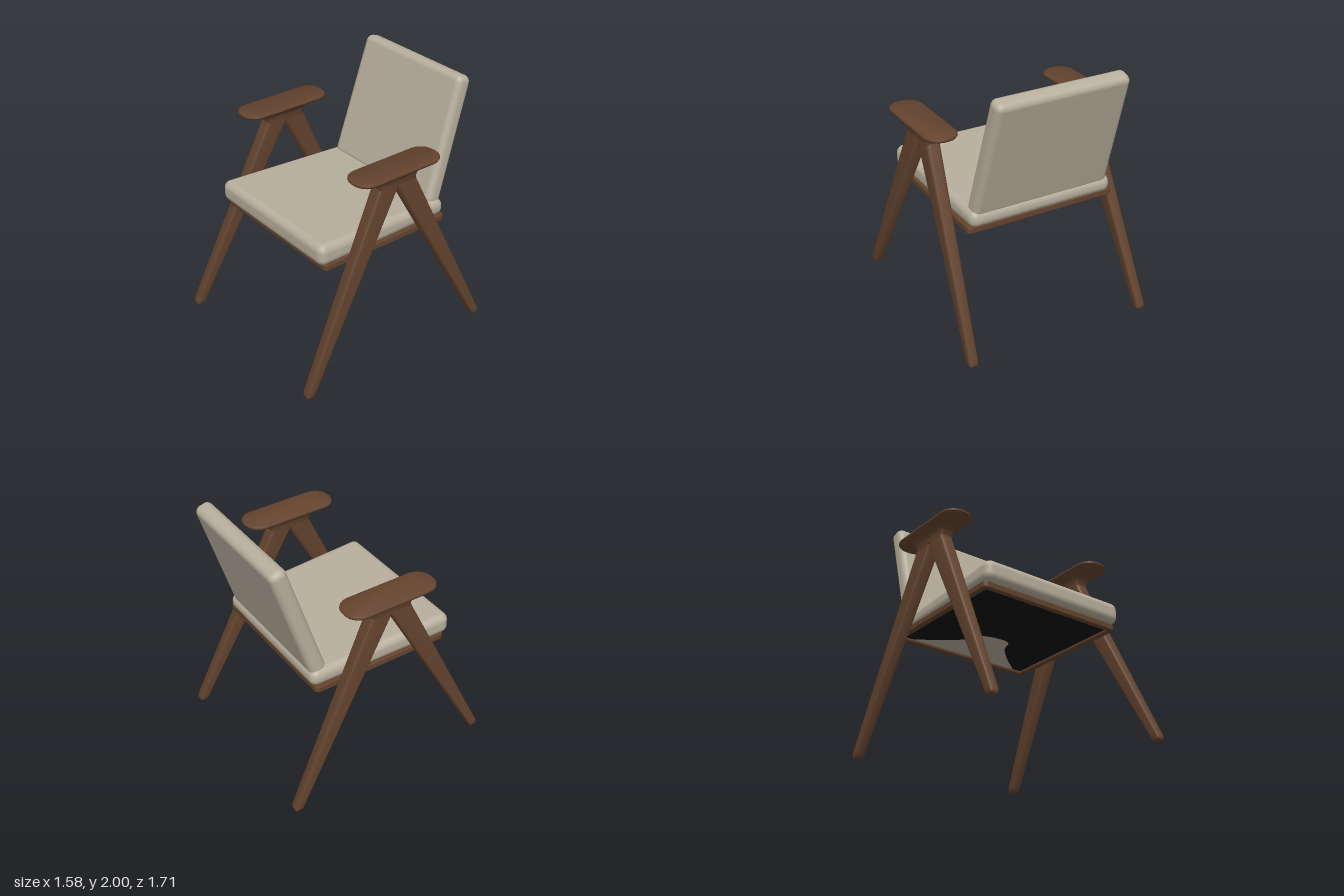
import * as THREE from 'three';
import { mergeVertices, toCreasedNormals } from 'three/addons/utils/BufferGeometryUtils.js';
import { RoundedBoxGeometry } from 'three/addons/geometries/RoundedBoxGeometry.js';

const wood = new THREE.MeshStandardMaterial({ name: 'walnut wood', color: 0x63432e });
const fabric = new THREE.MeshStandardMaterial({ name: 'beige fabric', color: 0xb7ae9c });
const black = new THREE.MeshStandardMaterial({ name: 'black lining', color: 0x121212 });

// Outline of a rounded rectangle, running from +x towards +z
function roundedRect(hx, hz, r, steps = 5) {
  const pts = [];
  [[1, 1], [-1, 1], [-1, -1], [1, -1]].forEach(([sx, sz], q) => {
    for (let i = 0; i <= steps; i++) {
      const a = (q + i / steps) * Math.PI / 2;
      pts.push([sx * (hx - r) + r * Math.cos(a), sz * (hz - r) + r * Math.sin(a)]);
    }
  });
  return pts;
}

// Capped solid through level rings, bottom to top: [y, centreX, centreZ, halfX, halfZ, cornerRadius]
function loft(rings) {
  const pos = [], index = [];
  let n = 0;
  for (const [y, cx, cz, hx, hz, r] of rings) {
    const pts = roundedRect(hx, hz, r);
    n = pts.length;
    for (const [x, z] of pts) pos.push(cx + x, y, cz + z);
  }
  const last = (rings.length - 1) * n;
  for (let k = 0; k < rings.length - 1; k++) {
    for (let j = 0; j < n; j++) {
      const a = k * n + j, b = k * n + (j + 1) % n;
      index.push(a, a + n, b, b, a + n, b + n);
    }
  }
  for (let j = 1; j < n - 1; j++) {
    index.push(0, j, j + 1, last, last + j + 1, last + j);
  }
  const g = new THREE.BufferGeometry();
  g.setAttribute('position', new THREE.Float32BufferAttribute(pos, 3));
  g.setIndex(index);
  return toCreasedNormals(g, 0.7);
}

// Soft cushion: rounded box reshaped by a rule, with smooth normals
function cushion(w, h, d, r, rule) {
  let g = new RoundedBoxGeometry(w, h, d, 6, r);
  g.deleteAttribute('uv');
  g.deleteAttribute('normal');
  g = mergeVertices(g, 1e-4);
  const p = g.attributes.position, v = new THREE.Vector3();
  for (let i = 0; i < p.count; i++) {
    v.fromBufferAttribute(p, i);
    rule(v);
    p.setXYZ(i, v.x, v.y, v.z);
  }
  g.computeVertexNormals();
  return g;
}

export function createModel() {
  const chair = new THREE.Group();
  chair.name = 'armchair';
  const add = (name, geometry, material) => {
    const m = new THREE.Mesh(geometry, material);
    m.name = name;
    chair.add(m);
    return m;
  };

  // Seat cushion, narrower and lower towards the back
  const seat = cushion(1.24, 0.17, 1.2, 0.06, v => {
    const back = 0.5 - v.z / 1.2;
    v.x *= 1 - 0.05 * back;
    v.y -= v.y > 0 ? 0.05 * back : 0.012 * back;
  });
  seat.translate(0, 1.04, 0.017);
  add('seatCushion', seat, fabric);

  // Leaning back cushion, narrower at the top
  const back = cushion(1.09, 1.0, 0.133, 0.05, v => { v.x *= 1 - 0.06 * v.y; });
  back.rotateX(-0.304);
  back.translate(0, 1.513, -0.645);
  add('backCushion', back, fabric);

  // Seat frame with an open middle
  const outline = (hx, hz, r) => roundedRect(hx, hz, r).map(([x, z]) => new THREE.Vector2(x, z));
  const ring = new THREE.Shape(outline(0.602, 0.562, 0.025));
  ring.holes.push(new THREE.Path(outline(0.575, 0.535, 0.01)));
  const frame = new THREE.ExtrudeGeometry(ring, {
    depth: 0.034, bevelThickness: 0.008, bevelSize: 0.008, bevelSegments: 2,
  });
  frame.rotateX(Math.PI / 2);
  frame.translate(0, 0.952, 0.003);
  add('seatFrame', frame, wood);

  // Lining under the seat, and the cushion belly showing through it at the back
  const lining = new THREE.BoxGeometry(1.15, 0.008, 1.07);
  lining.translate(0, 0.936, 0.003);
  add('seatLining', lining, black);
  const belly = new THREE.Shape();
  belly.moveTo(-0.5, -0.53);
  belly.splineThru([[-0.3, -0.4], [-0.17, -0.28], [-0.1, -0.15], [0.04, -0.11], [0.14, -0.13],
    [0.19, -0.24], [0.32, -0.38], [0.5, -0.53]].map(p => new THREE.Vector2(...p)));
  const patch = new THREE.ShapeGeometry(belly, 8);
  patch.rotateX(Math.PI / 2);
  patch.translate(0, 0.93, 0);
  add('cushionBelly', patch, fabric);

  for (const s of [1, -1]) {
    const side = s > 0 ? 'left' : 'right';

    // Splayed, tapered legs meeting under the armrest
    for (const f of [1, -1]) {
      add(side + (f > 0 ? 'FrontLeg' : 'BackLeg'), loft([
        [0, s * 0.732, f * 0.823, 0.027, 0.026, 0.012],
        [0.012, s * 0.732, f * 0.822, 0.034, 0.035, 0.014],
        [0.04, s * 0.731, f * 0.815, 0.036, 0.039, 0.015],
        [1.44, s * 0.661, f * 0.09, 0.053, 0.09, 0.022],
        [1.475, s * 0.66, f * 0.082, 0.052, 0.082, 0.022],
      ]), wood);
    }

    // Flared bracket between legs and armrest
    add(side + 'ArmBracket', loft([
      [1.46, s * 0.66, 0, 0.056, 0.165, 0.022],
      [1.50, s * 0.66, 0, 0.058, 0.172, 0.025],
      [1.525, s * 0.66, 0, 0.068, 0.19, 0.035],
      [1.545, s * 0.66, 0, 0.085, 0.23, 0.055],
      [1.558, s * 0.66, 0, 0.102, 0.29, 0.08],
      [1.566, s * 0.66, 0, 0.112, 0.34, 0.1],
    ]), wood);

    // Flat armrest with round corners
    add(side + 'Armrest', loft([
      [1.557, s * 0.66, 0, 0.108, 0.35, 0.096],
      [1.565, s * 0.66, 0, 0.122, 0.372, 0.11],
      [1.577, s * 0.66, 0, 0.128, 0.38, 0.116],
      [1.588, s * 0.66, 0, 0.125, 0.377, 0.113],
      [1.594, s * 0.66, 0, 0.116, 0.368, 0.104],
    ]), wood);
  }
  return chair;
}
